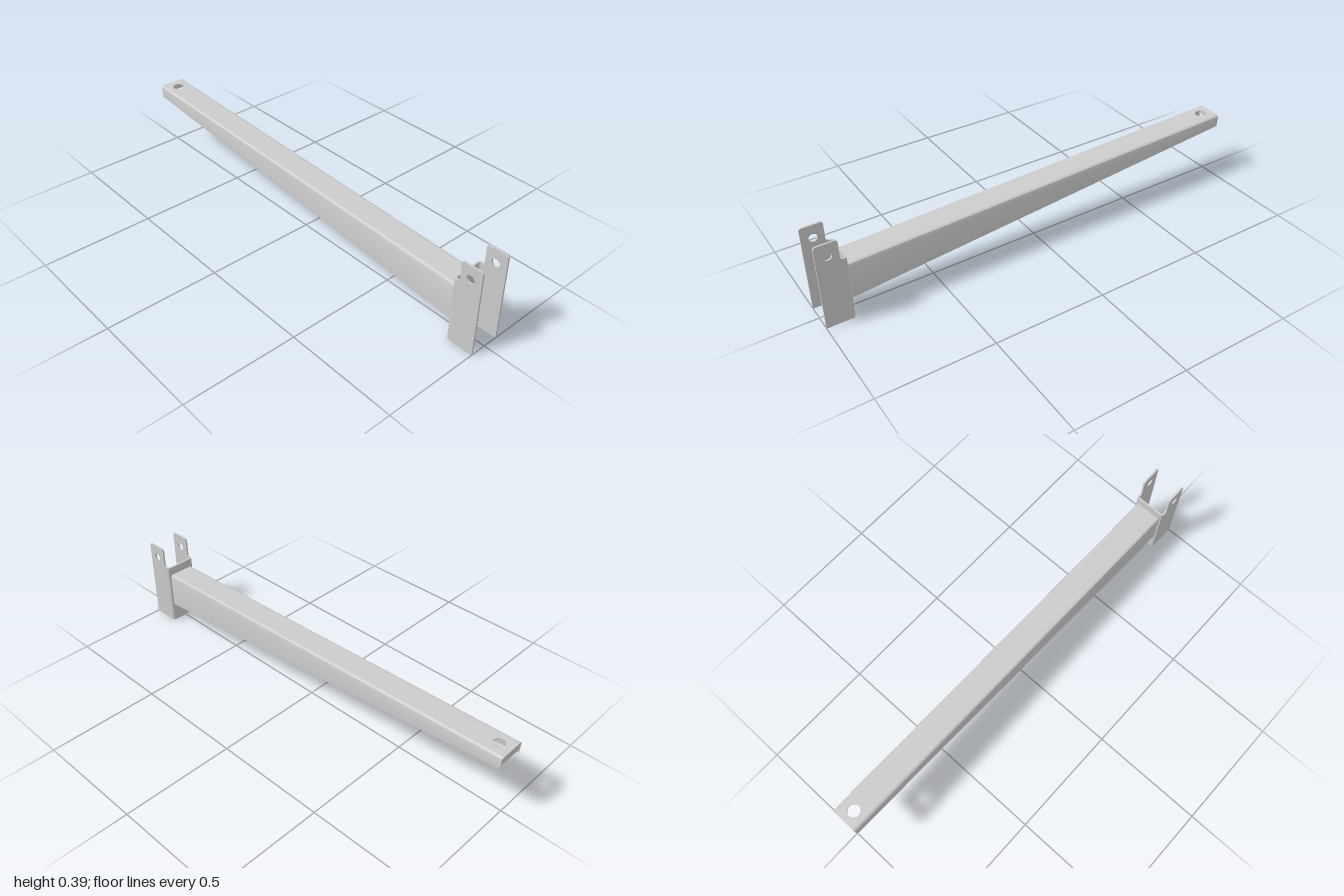
import * as THREE from 'three';
import { toCreasedNormals } from 'three/addons/utils/BufferGeometryUtils.js';

const mat = new THREE.MeshStandardMaterial({ color: 0xcccccc, side: THREE.DoubleSide });
const W = 0.062, T = 0.005, R = 0.012;        // arm half width, sheet thickness, bend radius
const Z0 = 0.876, Z1 = -1;                    // arm root and tip
const along = (z) => (Z0 - z) / (Z0 - Z1);
const topAt = (z) => 0.253 + 0.063 * along(z);
const botAt = (z) => 0.09 + 0.17 * along(z);

function add(group, name, geo) {
  const mesh = new THREE.Mesh(toCreasedNormals(geo, 0.6), mat);
  mesh.name = name;
  group.add(mesh);
  return mesh;
}

function extrude(shape, depth) {
  return new THREE.ExtrudeGeometry(shape, { depth, bevelEnabled: false, curveSegments: 12 });
}

function circleHole(x, y, r) {
  return new THREE.Path().absarc(x, y, r, 0, Math.PI * 2, true);
}

// Loft a closed ring of [x, y] points between two sections, with flat end caps.
function loft(a, b, za, zb) {
  const n = a.length, pos = [], idx = [];
  a.forEach(([x, y]) => pos.push(x, y, za(y)));
  b.forEach(([x, y]) => pos.push(x, y, zb(y)));
  for (let i = 0; i < n; i++) {
    const j = (i + 1) % n;
    idx.push(i, i + n, j, j, i + n, j + n);
  }
  const caps = THREE.ShapeUtils.triangulateShape(a.map(([x, y]) => new THREE.Vector2(x, y)), []);
  caps.forEach(([p, q, r]) => idx.push(p, q, r, p + n, r + n, q + n));
  const geo = new THREE.BufferGeometry();
  geo.setAttribute('position', new THREE.Float32BufferAttribute(pos, 3));
  geo.setIndex(idx);
  return geo;
}

// Side wall section: rounded top bend running down into a straight wall.
function wallSection(z, side) {
  const top = topAt(z), bot = botAt(z), pts = [];
  const arc = (r, k) => {
    const a = (k / 6) * Math.PI / 2;
    pts.push([side * (W - R + r * Math.sin(a)), top - R + r * Math.cos(a)]);
  };
  for (let k = 0; k <= 6; k++) arc(R, k);
  pts.push([side * W, bot], [side * (W - T), bot]);
  for (let k = 6; k >= 0; k--) arc(R - T, k);
  return side > 0 ? pts.reverse() : pts;
}

function rect(x0, y0, x1, y1) {
  return new THREE.Shape([[x0, y0], [x1, y0], [x1, y1], [x0, y1]].map((p) => new THREE.Vector2(...p)));
}

// Flat sheet lying in x-z, then lifted to follow a sloping line.
function slopedSheet(shape, lineAt) {
  const geo = extrude(shape, T).rotateX(-Math.PI / 2);
  const p = geo.attributes.position;
  for (let i = 0; i < p.count; i++) p.setY(i, p.getY(i) + lineAt(p.getZ(i)));
  geo.computeVertexNormals();
  return geo;
}

function buildArm() {
  const arm = new THREE.Group();
  arm.name = 'arm';
  const tipZ = (y) => Z1 + 0.08 * (topAt(Z1) - y); // tip is cut square to the sloping top

  // top sheet with the bolt hole
  const top = rect(-(W - R), -Z0, W - R, -Z1);
  top.holes.push(circleHole(0, 0.945, 0.026));
  add(arm, 'armTop', slopedSheet(top, (z) => topAt(z) - T));

  for (const side of [1, -1]) {
    add(arm, side > 0 ? 'armWallLeft' : 'armWallRight',
      loft(wallSection(Z0, side), wallSection(Z1, side), () => Z0, tipZ));
  }

  // folded-down flap closing the tip
  const flap = new THREE.BoxGeometry(2 * (W - T) - 0.004, 0.036, T);
  flap.rotateX(-0.06).translate(0, topAt(Z1) - 0.021, Z1 + 0.005);
  add(arm, 'tipFlap', flap);

  // stiffener tray closing the underside of the root half
  const mid = -0.06, w = W - T;
  add(arm, 'trayFloor', slopedSheet(rect(-w, -Z0, w, -mid), (z) => botAt(z) + 0.002));
  for (const side of [1, -1]) {
    const lip = (z) => {
      const y = botAt(z) + 0.003, x0 = side * w, x1 = side * (w - 0.004);
      const pts = [[x0, y], [x1, y], [x1, y + 0.035], [x0, y + 0.035]];
      return side > 0 ? pts.reverse() : pts;
    };
    add(arm, 'trayLip', loft(lip(Z0).reverse(), lip(mid).reverse(), () => Z0, () => mid));
  }
  return arm;
}

function buildBracket() {
  const bracket = new THREE.Group();
  bracket.name = 'bracket';
  const X = 0.073, t = 0.008, r = 0.014, H = 0.293;
  const back = -0.876, bend = back - r;       // shape y is -z

  // web with its two rounded bends
  const web = new THREE.Shape();
  web.moveTo(X, bend);
  web.absarc(X - r, bend, r, 0, Math.PI / 2, false);
  web.absarc(-X + r, bend, r, Math.PI / 2, Math.PI, false);
  web.lineTo(-X + t, bend);
  web.absarc(-X + r, bend, r - t, Math.PI, Math.PI / 2, true);
  web.absarc(X - r, bend, r - t, Math.PI / 2, 0, true);
  web.closePath();
  add(bracket, 'web', extrude(web, H).rotateX(-Math.PI / 2));

  // flanges with a raised, drilled ear
  const s = new THREE.Shape(), c = 0.012, Y = 0.386, ear = -0.905;
  s.moveTo(bend, 0);
  s.lineTo(bend, H);
  s.quadraticCurveTo(ear, H, ear, H + 0.015);
  s.lineTo(ear, Y - c);
  s.quadraticCurveTo(ear, Y, ear - c, Y);
  s.lineTo(-1 + c, Y);
  s.quadraticCurveTo(-1, Y, -1, Y - c);
  s.lineTo(-1, 0.006);
  s.quadraticCurveTo(-1, 0, -0.994, 0);
  s.closePath();
  s.holes.push(circleHole(-0.951, 0.328, 0.018));
  for (const side of [1, -1]) {
    const geo = extrude(s, t).rotateY(Math.PI / 2).translate(side > 0 ? X - t : -X, 0, 0);
    add(bracket, side > 0 ? 'flangeLeft' : 'flangeRight', geo);
  }
  return bracket;
}

export function createModel() {
  const model = new THREE.Group();
  model.name = 'cantileverArm';
  model.add(buildArm(), buildBracket());
  return model;
}
